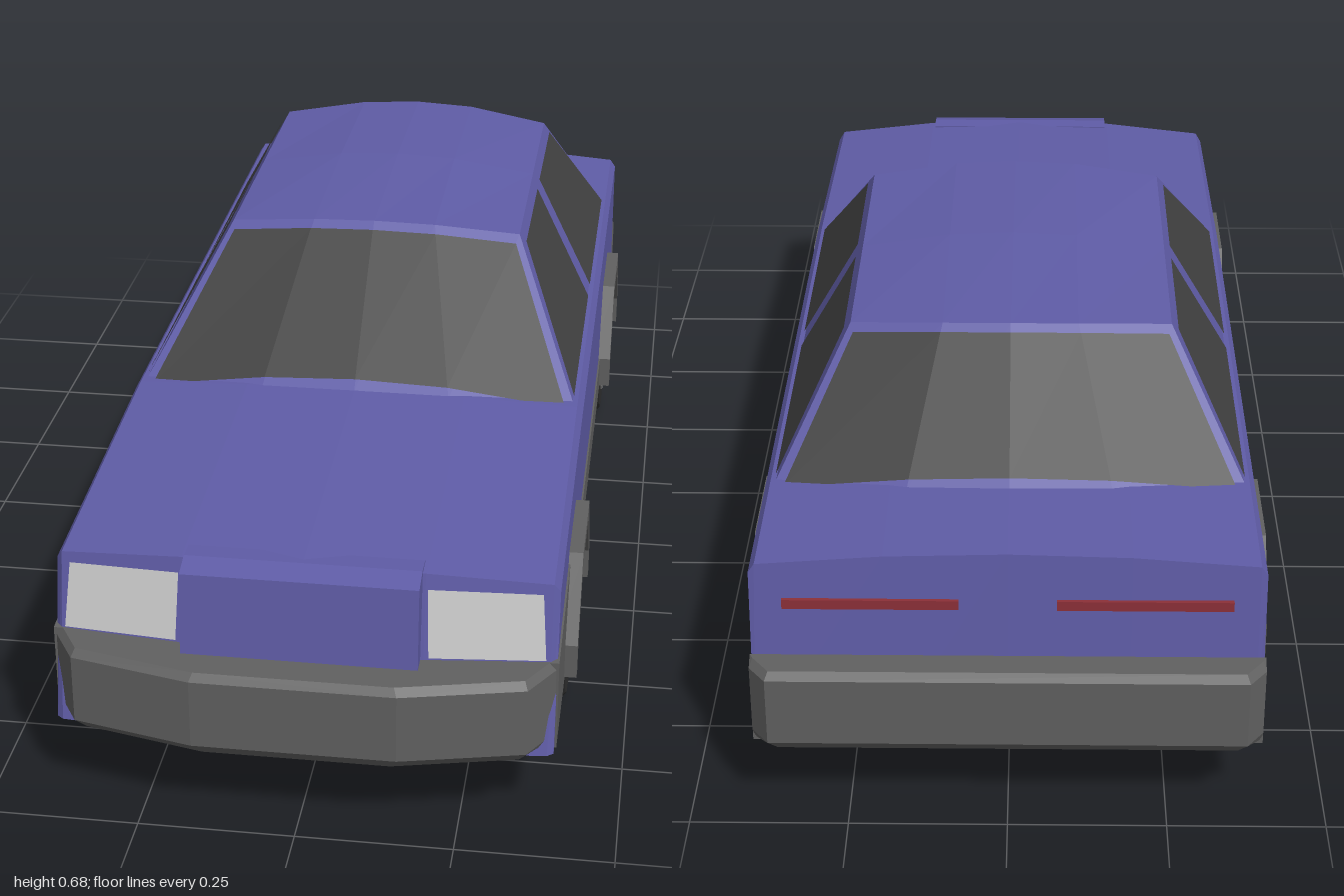
import * as THREE from 'three';
import { ConvexGeometry } from 'three/addons/geometries/ConvexGeometry.js';

const mat = (color, side = THREE.FrontSide) =>
  new THREE.MeshStandardMaterial({ color, side, flatShading: true });
const paint = mat(0x5f5ca6), trim = mat(0x606060), rubber = mat(0x303030);
const glass = mat(0x424242, THREE.DoubleSide), lamp = mat(0xcccccc, THREE.DoubleSide);
const hubMetal = mat(0xa4a4a4), tailRed = mat(0x8c3038);

function add(parent, name, geometry, material) {
  const mesh = new THREE.Mesh(geometry, material);
  mesh.name = name;
  parent.add(mesh);
  return mesh;
}

// Surface through rows of [x, y, z] points; the outside is (along row) x (next row)
function grid(rows) {
  const pos = [];
  for (let i = 0; i < rows.length - 1; i++) {
    for (let j = 0; j < rows[i].length - 1; j++) {
      const a = rows[i][j], b = rows[i][j + 1], c = rows[i + 1][j + 1], d = rows[i + 1][j];
      pos.push(...a, ...b, ...c, ...a, ...c, ...d);
    }
  }
  const g = new THREE.BufferGeometry();
  g.setAttribute('position', new THREE.Float32BufferAttribute(pos, 3));
  g.computeVertexNormals();
  return g;
}

// Side outline of [z, y] points, extruded from x0 to x1
function sideExtrude(points, x0, x1) {
  const shape = new THREE.Shape(points.map(([z, y]) => new THREE.Vector2(-z, y)));
  return new THREE.ExtrudeGeometry(shape, { depth: x1 - x0, bevelEnabled: false })
    .rotateY(Math.PI / 2).translate(x0, 0, 0);
}

const lerp = (a, b, t) => a.map((v, k) => v + (b[k] - v) * t);
const mirror = rows => rows.map(r => r.map(([x, y, z]) => [-x, y, z]).reverse());

// Lower body: lofted crowned sections from nose to tail
function buildBody(car) {
  const xs = [-0.395, -0.385, -0.19, 0, 0.19, 0.385, 0.395];
  const drop = [0.035, 0.02, 0.005, 0, 0.005, 0.02, 0.035];
  const bow = [0.03, 0.022, 0.004, 0, 0.004, 0.022, 0.03];
  const section = (zTop, zBottom, y, b) => ({
    top: xs.map((x, i) => [x, y - drop[i], zTop - bow[i] * b]),
    bottom: xs.map((x, i) => [x, 0.13, zBottom - bow[i] * b]),
  });
  const sections = [
    section(0.885, 0.94, 0.425, 1), section(0.33, 0.33, 0.455, 1),
    section(-0.72, -0.72, 0.455, 0), section(-0.928, -0.955, 0.455, 0),
  ];
  const rings = sections.map(s => [...s.top, ...[...s.bottom].reverse(), s.top[0]]);
  const nose = sections[0], tail = sections[3];
  const body = new THREE.Group();
  body.name = 'body';
  car.add(body);
  add(body, 'bodyShell', grid(rings), paint);
  add(body, 'noseFace', grid([nose.bottom, nose.top]), paint);
  add(body, 'tailFace', grid([tail.top, tail.bottom]), paint);
  add(body, 'nosePanel', sideExtrude(
    [[0.85, 0.27], [0.94, 0.27], [0.925, 0.415], [0.885, 0.426], [0.85, 0.425]], -0.185, 0.185), paint);
}

// Cabin: pillars and roof as a shell, with glass laid just outside it
function buildCabin(car) {
  const cabin = new THREE.Group();
  cabin.name = 'cabin';
  car.add(cabin);
  const row = (w, y, rise, zCentre, zEdge) => [-1, -0.42, 0, 0.42, 1].map(f => {
    const s = 1 - f * f;
    return [f * w, y + rise * s, zEdge + (zCentre - zEdge) * s];
  });
  const rows = [
    row(0.39, 0.41, 0.045, 0.335, 0.315), row(0.26, 0.65, 0.02, 0.08, 0.06),
    row(0.26, 0.65, 0.028, -0.25, -0.25),
    row(0.26, 0.65, 0.02, -0.58, -0.54), row(0.39, 0.41, 0.045, -0.735, -0.695),
  ];
  add(cabin, 'roofAndPillars', grid(rows), paint);
  const side = [
    [rows[0][4], [0.39, 0.41, -0.25], rows[4][4]],
    [rows[1][4], rows[2][4], rows[3][4]],
  ];
  add(cabin, 'leftCabinSide', grid(side), paint);
  add(cabin, 'rightCabinSide', grid(mirror(side)), paint);

  // Screens, inset from the edges of the end faces
  const screen = (a, b, dz) => grid([0.06, 0.94].map(v => {
    const r = a.map((p, i) => lerp(p, b[i], v));
    r[0] = lerp(r[1], r[0], 0.92);
    r[4] = lerp(r[3], r[4], 0.92);
    return r.map(([x, y, z]) => [x, y + 0.003, z + dz]);
  }));
  add(cabin, 'windscreen', screen(rows[0], rows[1], 0.004), glass);
  add(cabin, 'rearScreen', screen(rows[3], rows[4], -0.004), glass);

  // Side windows as [z, y] corners on the sloping cabin side
  const onSide = ([z, y]) => [0.394 - 0.13 * (y - 0.41) / 0.24, y, z];
  const windows = {
    FrontWindow: [[[0.275, 0.44], [-0.165, 0.44]], [[0.055, 0.635], [-0.21, 0.635]]],
    RearWindow: [[[-0.22, 0.44], [-0.67, 0.44]], [[-0.26, 0.635], [-0.53, 0.635]]],
  };
  for (const [name, corners] of Object.entries(windows)) {
    const pane = corners.map(r => r.map(onSide));
    add(cabin, 'left' + name, grid(pane), glass);
    add(cabin, 'right' + name, grid(mirror(pane)), glass);
  }
}

// Bumper: convex hull of a plan outline, drawn in at the top and bottom
function bumper(outline, dir) {
  const pts = [];
  for (const [y, inset] of [[0.128, 0.025], [0.155, 0], [0.27, 0], [0.282, 0.01]]) {
    for (const [x, z, back] of outline) {
      const zz = back ? z : z - dir * inset;
      for (const s of [-1, 1]) pts.push(new THREE.Vector3(s * (x - (back ? 0 : inset * 0.5)), y, zz));
    }
  }
  return new ConvexGeometry(pts);
}

// Wheel lying along +x, outer face at x = 0.398
function buildWheel() {
  const wheel = new THREE.Group();
  const profile = [[0.1, 0.27], [0.15, 0.27], [0.172, 0.288], [0.172, 0.375], [0.15, 0.398], [0.1, 0.398]]
    .map(([r, x]) => new THREE.Vector2(r, x));
  add(wheel, 'tyre', new THREE.LatheGeometry(profile, 16).rotateZ(-Math.PI / 2), rubber);
  add(wheel, 'hub', new THREE.CylinderGeometry(0.112, 0.112, 0.132, 16)
    .rotateZ(-Math.PI / 2).translate(0.335, 0, 0), hubMetal);
  return wheel;
}

export function createModel() {
  const car = new THREE.Group();
  car.name = 'car';
  buildBody(car);
  buildCabin(car);
  add(car, 'frontBumper', bumper(
    [[0.16, 1], [0.355, 0.955], [0.397, 0.885], [0.397, 0.86, true]], 1), trim);
  add(car, 'rearBumper', bumper([[0.37, -1], [0.397, -0.965], [0.397, -0.945, true]], -1), trim);

  // Flared arch outline round a wheel centre, open at the bottom
  const arch = [[0.175, 0.14], [0.175, 0.2], [0.09, 0.325], [-0.09, 0.325], [-0.175, 0.2], [-0.175, 0.14],
    [-0.15, 0.14], [-0.148, 0.195], [-0.075, 0.3], [0.075, 0.3], [0.148, 0.195], [0.15, 0.14]];
  const sills = {
    FrontSill: [[0.89, 0.128], [0.89, 0.282], [0.62, 0.31], [0.685, 0.2], [0.685, 0.128]],
    MiddleSill: [[0.37, 0.128], [0.37, 0.2], [-0.415, 0.2], [-0.415, 0.128]],
    RearSill: [[-0.73, 0.128], [-0.73, 0.2], [-0.955, 0.2], [-0.955, 0.128]],
  };
  for (const s of [1, -1]) {
    const label = s > 0 ? 'left' : 'right';
    const strip = (pts, a, b) => sideExtrude(pts, s > 0 ? a : -b, s > 0 ? b : -a);
    for (const [name, pts] of Object.entries(sills)) add(car, label + name, strip(pts, 0.37, 0.398), trim);

    for (const [end, z] of [['Front', 0.53], ['Rear', -0.572]]) {
      add(car, `${label}${end}Arch`, strip(arch.map(([dz, y]) => [z + dz, y]), 0.38, 0.418), trim);
      const wheel = buildWheel();
      wheel.name = `${label}${end}Wheel`;
      wheel.position.set(0, 0.172, z);
      if (s < 0) wheel.rotation.y = Math.PI;
      car.add(wheel);
    }

    // Headlamp follows the raked nose face
    const face = (x, y) => [x, y, 0.947 - 0.055 * (y - 0.13) / 0.28 - 0.004 - 0.018 * (x - 0.19) / 0.195];
    const lens = [[face(0.198, 0.288), face(0.378, 0.288)], [face(0.194, 0.397), face(0.37, 0.393)]];
    add(car, label + 'Headlamp', grid(s > 0 ? lens : mirror(lens)), lamp);

    // Slim tail lamp
    add(car, label + 'TailLamp', new THREE.BoxGeometry(0.27, 0.016, 0.012)
      .translate(s * 0.21, 0.37, -0.934), tailRed);
  }
  return car;
}
